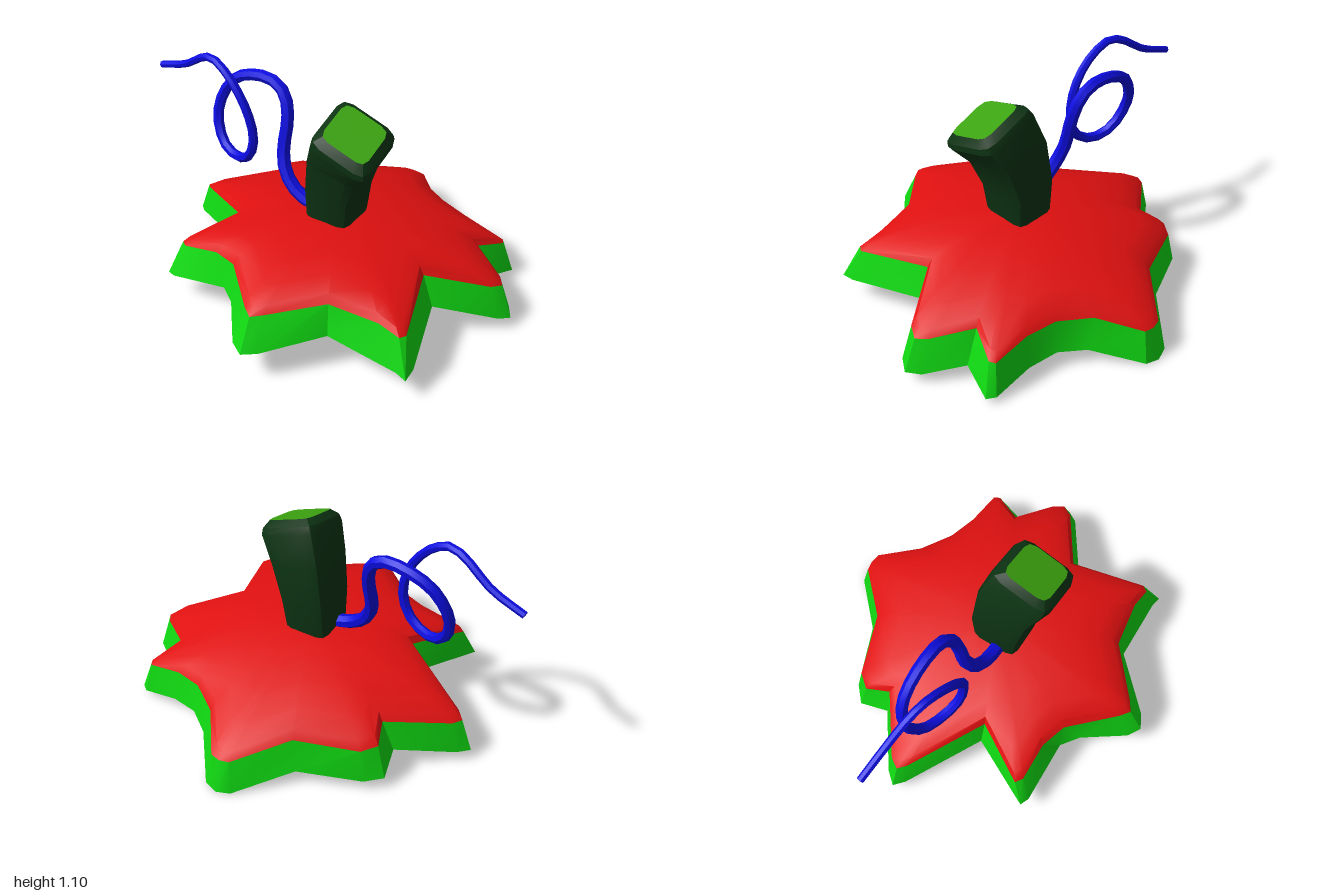
import * as THREE from 'three';
import { toCreasedNormals } from 'three/addons/utils/BufferGeometryUtils.js';

const mat = (name, color) => {
  const m = new THREE.MeshStandardMaterial({ color });
  m.name = name;
  return m;
};

// Skin a list of closed rings (each ring clockwise seen from above)
function loft(rings, crease) {
  const pos = [];
  const tri = (a, b, c) => {
    if (a.distanceTo(b) < 1e-6 || b.distanceTo(c) < 1e-6 || a.distanceTo(c) < 1e-6) return;
    for (const p of [a, b, c]) pos.push(p.x, p.y, p.z);
  };
  for (let r = 0; r + 1 < rings.length; r++) {
    const a = rings[r], b = rings[r + 1], n = a.length;
    for (let i = 0; i < n; i++) {
      const j = (i + 1) % n;
      tri(a[j], a[i], b[i]);
      tri(a[j], b[i], b[j]);
    }
  }
  const g = new THREE.BufferGeometry();
  g.setAttribute('position', new THREE.Float32BufferAttribute(pos, 3));
  g.computeVertexNormals();
  return crease ? toCreasedNormals(g, crease) : g;
}

// Star outline, clockwise from the back tip: top x, z, then bottom x, z
const STAR = [
  [0.09, -0.83, 0.09, -0.875], [0.14, -0.82, 0.16, -0.855], [0.28, -0.63, 0.33, -0.64],
  [0.43, -0.53, 0.45, -0.555], [0.58, -0.49, 0.6, -0.52], [0.77, -0.48, 0.8, -0.51],
  [0.785, -0.45, 0.84, -0.48], [0.71, -0.3, 0.785, -0.31], [0.89, -0.17, 0.95, -0.18],
  [0.925, -0.12, 0.99, -0.11], [0.89, -0.06, 0.95, -0.05], [0.62, 0.12, 0.68, 0.13],
  [0.73, 0.49, 0.785, 0.51], [0.71, 0.52, 0.785, 0.585], [0.6, 0.51, 0.73, 0.575],
  [0.36, 0.55, 0.38, 0.59], [0.14, 0.75, 0.16, 0.83], [0.09, 0.785, 0.09, 0.87],
  [0.04, 0.75, 0.02, 0.83], [-0.17, 0.55, -0.13, 0.635], [-0.3, 0.51, -0.22, 0.57],
  [-0.49, 0.515, -0.53, 0.58], [-0.525, 0.49, -0.575, 0.56], [-0.37, 0.21, -0.42, 0.22],
  [-0.74, -0.01, -0.79, 0.0], [-0.78, -0.05, -0.84, -0.05], [-0.75, -0.1, -0.79, -0.11],
  [-0.48, -0.3, -0.54, -0.29], [-0.525, -0.42, -0.575, -0.44], [-0.47, -0.49, -0.5, -0.51],
  [-0.17, -0.6, -0.2, -0.63], [0.04, -0.82, 0.02, -0.855],
];
const CX = 0.09;
const bowl = (c, k, t) => (x, z) => c - k * ((x - CX) ** 2 + z * z) + t * z;
const rimY = bowl(0.378, 0.19, 0.08);
const domeY = bowl(0.447, 0.26, 0.08);
const baseY = bowl(0.228, 0.187, 0.085);
const onStar = (s, offset, height) => STAR.map((p) => {
  const x = CX + (p[offset] - CX) * s, z = p[offset + 1] * s;
  return new THREE.Vector3(x, height(x, z), z);
});

// Chamfered square section, sheared so it leans with the stem
function stemRing([cx, cy, cz, hx, hz, sx, sz]) {
  const ring = [];
  for (let q = 0; q < 4; q++) {
    for (const [u, v] of [[0.62, 1], [0.9, 0.9], [1, 0.62]]) {
      let x = v, z = -u;
      if (q === 0) { x = u; z = -v; }
      if (q === 1) { x = v; z = u; }
      if (q === 2) { x = -u; z = v; }
      if (q === 3) { x = -v; z = -u; }
      ring.push(new THREE.Vector3(cx + x * hx, cy - sx * x * hx - sz * z * hz, cz + z * hz));
    }
    // odd corners run the other way so the whole ring stays clockwise
    if (q % 2 === 1) ring.push(...ring.splice(-3).reverse());
  }
  // sort by angle keeps the order robust
  return ring.sort((a, b) => Math.atan2(a.z - cz, a.x - cx) - Math.atan2(b.z - cz, b.x - cx));
}

export function createModel() {
  const group = new THREE.Group();
  const red = mat('red skin', 0xe01010);
  const green = mat('bright green', 0x10d812);
  const dark = mat('dark stem green', 0x0d3313);
  const cut = mat('cut stem green', 0x3ca410);
  const blue = mat('vine blue', 0x0c0ce0);
  const add = (name, geometry, material) => {
    const m = new THREE.Mesh(geometry, material);
    m.name = name;
    group.add(m);
    return m;
  };

  // Red domed star with a small bevel at its rim
  const domeRings = [onStar(1, 0, rimY)];
  domeRings.push(onStar(0.95, 0, (x, z) => 0.25 * rimY(x, z) + 0.75 * domeY(x, z)));
  for (const s of [0.8, 0.6, 0.4, 0.2, 0]) domeRings.push(onStar(s, 0, domeY));
  add('starTop', loft(domeRings, 0.6), red);

  // Green flared side and underside
  add('starSide', loft([onStar(1, 2, baseY), onStar(1, 0, rimY)], 0.5), green);
  add('starUnderside', loft([0, 0.2, 0.4, 0.6, 0.8, 1].map((s) => onStar(s, 2, baseY)), 0.6), green);

  // Round patch under the star
  const patchRing = (r) => Array.from({ length: 32 }, (_, i) => {
    const a = (i / 32) * Math.PI * 2;
    const x = CX + r * Math.cos(a), z = r * Math.sin(a);
    return new THREE.Vector3(x, baseY(x, z) - 0.007, z);
  });
  add('undersidePatch', loft([0, 0.14, 0.28, 0.42].map(patchRing), 0.6), cut);

  // Leaning stem: centre, half sizes, lean in x and z
  const stem = [
    [0.085, 0.4, 0.03, 0.115, 0.12, 0, 0],
    [0.095, 0.6, 0.03, 0.125, 0.14, 0.08, 0.04],
    [0.14, 0.79, 0.05, 0.142, 0.15, 0.22, 0.15],
    [0.205, 0.915, 0.095, 0.155, 0.16, 0.34, 0.26],
    [0.215, 0.945, 0.103, 0.147, 0.152, 0.36, 0.27],
    [0.225, 0.975, 0.11, 0.117, 0.117, 0.36, 0.27],
  ].map(stemRing);
  add('stem', loft(stem, 0.45), dark);
  const rim = stem[stem.length - 1];
  const middle = new THREE.Vector3(0.225, 0.975, 0.11);
  add('stemCut', loft([rim, rim.map(() => middle)]), cut);

  // Curling vine, tapering to its tip
  const path = new THREE.CatmullRomCurve3([
    [-0.02, 0.455, 0.06], [-0.12, 0.49, 0.06], [-0.2, 0.57, 0.045], [-0.235, 0.67, 0.015],
    [-0.235, 0.85, -0.03], [-0.27, 0.955, -0.055], [-0.34, 1.0, -0.068], [-0.46, 0.995, -0.075],
    [-0.58, 0.94, -0.07], [-0.65, 0.83, -0.05], [-0.66, 0.72, -0.02], [-0.6, 0.605, 0.02],
    [-0.5, 0.575, 0.055], [-0.4, 0.625, 0.085], [-0.36, 0.74, 0.09], [-0.38, 0.87, 0.095],
    [-0.44, 0.98, 0.09], [-0.52, 1.06, 0.075], [-0.61, 1.1, 0.055], [-0.69, 1.075, 0.035],
    [-0.83, 0.985, 0.005], [-1.0, 0.925, -0.015],
  ].map((p) => new THREE.Vector3(...p)));
  const steps = 40, sides = 7;
  const tube = new THREE.TubeGeometry(path, steps, 1, sides, false);
  const pos = tube.attributes.position, v = new THREE.Vector3();
  for (let i = 0; i <= steps; i++) {
    const c = path.getPointAt(i / steps), r = 0.036 - 0.018 * (i / steps);
    for (let j = 0; j <= sides; j++) {
      const k = i * (sides + 1) + j;
      v.fromBufferAttribute(pos, k).sub(c).multiplyScalar(r).add(c);
      pos.setXYZ(k, v.x, v.y, v.z);
    }
  }
  add('vine', toCreasedNormals(tube, 0.7), blue);
  const tip = add('vineTip', new THREE.CircleGeometry(0.018, sides), blue);
  tip.position.copy(path.getPointAt(1));
  tip.lookAt(path.getPointAt(1).add(path.getTangentAt(1)));

  return group;
}
